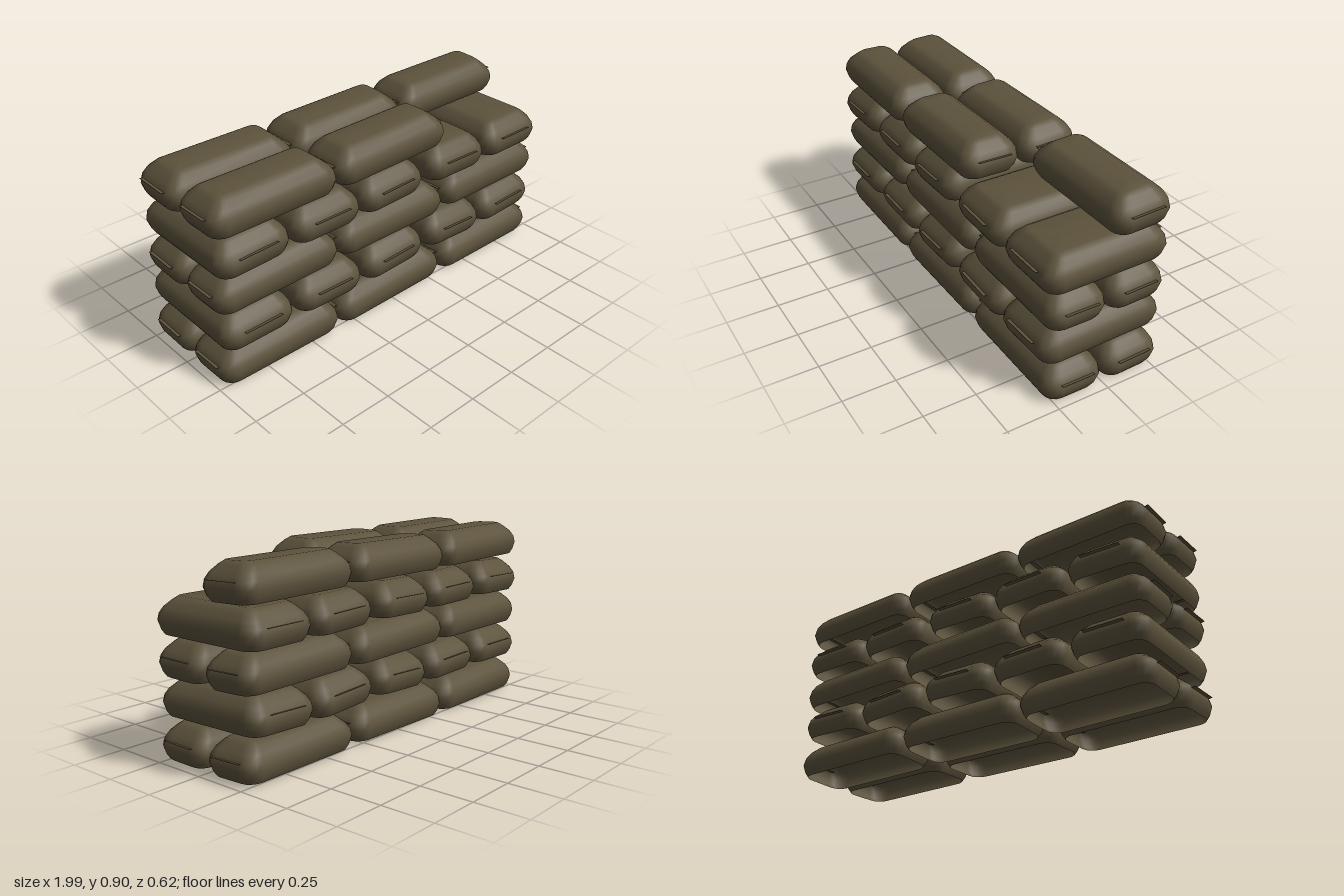
import * as THREE from 'three';

const burlap = new THREE.MeshStandardMaterial({ color: 0x5c523c });
burlap.name = 'olive burlap';
burlap.side = THREE.DoubleSide;

// Bag section from hem to crown: [height fraction, inset at the ends, inset at the sides]
const PROFILE = [
  [0, 0.025, 0.023], [0.14, 0.011, 0.01], [0.36, 0, 0], [0.55, 0.007, 0.005],
  [0.72, 0.026, 0.019], [0.9, 0.059, 0.048], [1, 0.08, 0.075],
];
const CORNER_STEPS = 4;

// Rounded rectangle outline, turning from +x to +z
function outline(hx, hz, r) {
  const pts = [];
  for (const [sx, sz, quarter] of [[1, 1, 0], [-1, 1, 1], [-1, -1, 2], [1, -1, 3]]) {
    for (let i = 0; i <= CORNER_STEPS; i++) {
      const a = (quarter + i / CORNER_STEPS) * Math.PI / 2;
      pts.push([sx * (hx - r) + r * Math.cos(a), sz * (hz - r) + r * Math.sin(a)]);
    }
  }
  return pts;
}

// Stuffed bag shell along x, open underneath, its hem on y = 0
function bagGeometry(length, width, height) {
  const pos = [], index = [];
  const n = 4 * (CORNER_STEPS + 1);
  const rings = PROFILE.map(([t, endInset, sideInset]) => ({
    y: t * height,
    pts: outline(length / 2 - endInset, width / 2 - sideInset, 0.07 - sideInset * 0.55),
  }));
  // The flat crown closes on a line along the middle
  rings.push({ y: height, pts: outline(length / 2 - width / 2, 0, 0) });
  for (const { y, pts } of rings) for (const [x, z] of pts) pos.push(x, y, z);
  for (let j = 0; j < rings.length - 1; j++) {
    for (let i = 0; i < n; i++) {
      const k = (i + 1) % n, a = j * n + i, b = j * n + k;
      index.push(a, a + n, b, b, a + n, b + n);
    }
  }
  const g = new THREE.BufferGeometry();
  g.setAttribute('position', new THREE.Float32BufferAttribute(pos, 3));
  g.setIndex(index);
  g.computeVertexNormals();
  return g;
}

// Bag with a thin sewn flap at each end
function makeBag(name, length, width, height, flapWidth) {
  const bag = new THREE.Group();
  bag.name = name;
  const body = new THREE.Mesh(bagGeometry(length, width, height), burlap);
  body.name = 'bagBody';
  bag.add(body);
  for (const s of [-1, 1]) {
    const flap = new THREE.Mesh(new THREE.BoxGeometry(0.04, 0.002, flapWidth), burlap);
    flap.name = 'sewnFlap';
    flap.position.set(s * (length / 2 - 0.011), height * 0.54, 0);
    flap.rotation.z = s * 0.2;
    bag.add(flap);
  }
  return bag;
}

export function createModel() {
  const wall = new THREE.Group();
  wall.name = 'sandbagWall';

  // Lengthwise courses: two rows of three, the top one lacking its front left bag
  const longX = [-0.662, -0.006, 0.657];
  [0.014, 0.379, 0.736].forEach((y, course) => {
    for (const side of [1, -1]) {
      longX.forEach((x, i) => {
        if (course === 2 && side === 1 && i === 2) return;
        const bag = makeBag('lengthwiseBag', 0.652, 0.286, 0.162, 0.16);
        bag.position.set(x, y, side * 0.148);
        bag.rotation.x = side === 1 ? -0.01 : 0.035;
        bag.rotation.z = [-0.006, 0.012, 0.002][i] * (course === 1 ? -1 : 1);
        wall.add(bag);
      });
    }
  });

  // Crosswise courses: five bags each
  const courses = [
    { y: 0.2, xs: [-0.79, -0.396, 0, 0.394, 0.78], lean: 0.02, roll: [0.01, -0.02, 0.04, -0.05, 0.04] },
    { y: 0.556, xs: [-0.79, -0.402, -0.015, 0.4, 0.788], lean: 0.004, roll: [0.03, -0.005, 0.03, -0.02, 0.005] },
  ];
  for (const { y, xs, lean, roll } of courses) {
    xs.forEach((x, i) => {
      const bag = makeBag('crosswiseBag', 0.605, 0.37, 0.162, 0.19);
      bag.rotation.y = Math.PI / 2;
      const tilt = new THREE.Group();
      tilt.name = 'crosswisePlacement';
      tilt.add(bag);
      tilt.position.set(x, y, 0);
      tilt.rotation.set(lean, 0, roll[i]);
      wall.add(tilt);
    });
  }
  return wall;
}
